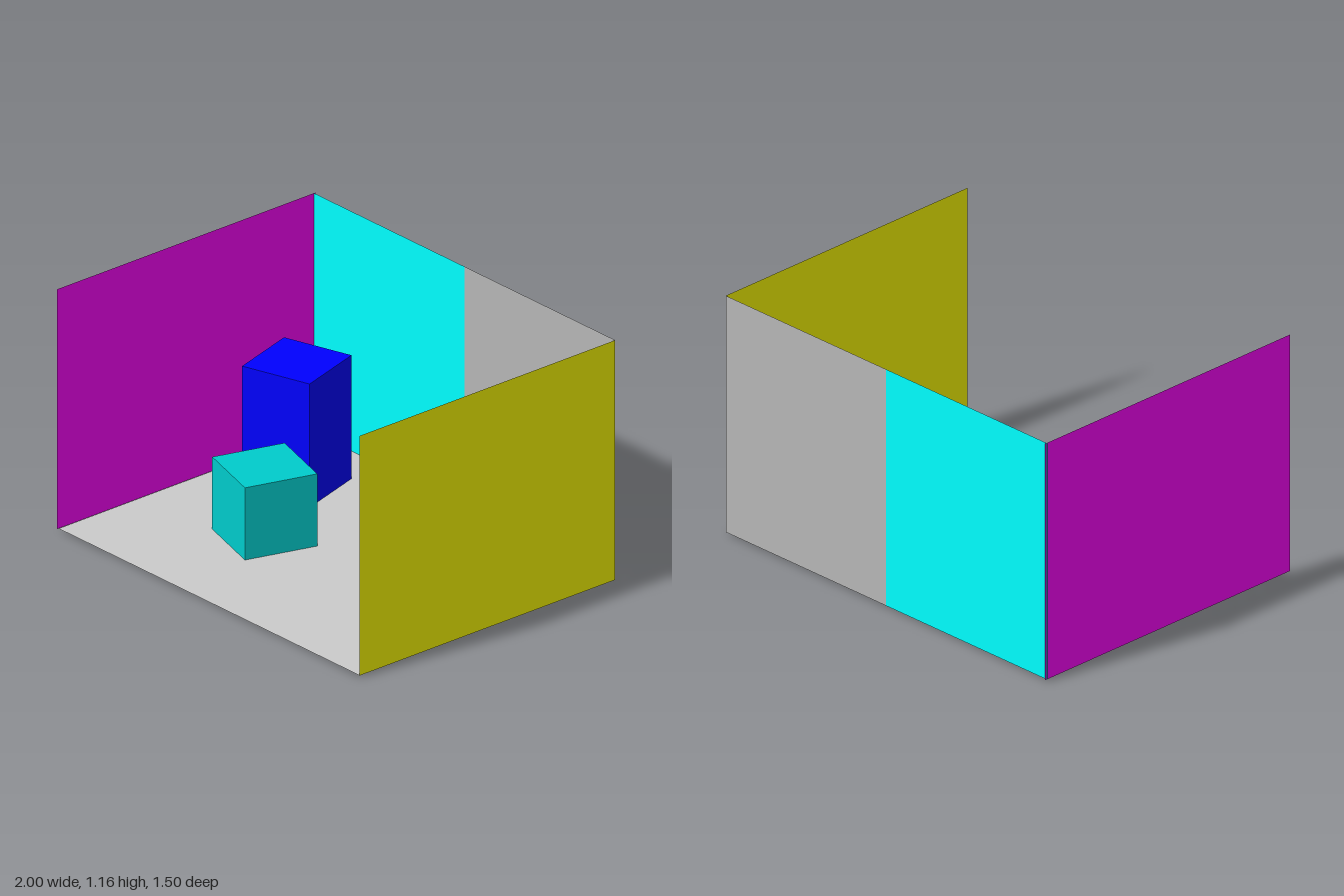
import * as THREE from 'three';

const FLOOR = 0.01, TOP = 1.165, HEIGHT = TOP - FLOOR, MID = (TOP + FLOOR) / 2;
const DEPTH = 1.48, BLOCK = 0.346;

function material(color) {
  return new THREE.MeshStandardMaterial({ color, side: THREE.DoubleSide });
}

// Thin single-surface panel
function panel(name, width, height, color, position, rotation = [0, 0, 0]) {
  const mesh = new THREE.Mesh(new THREE.PlaneGeometry(width, height), material(color));
  mesh.name = name;
  mesh.position.set(...position);
  mesh.rotation.set(...rotation);
  return mesh;
}

// Square block, open underneath
function block(name, color, x, z, bottom, top, angle) {
  const geometry = new THREE.BoxGeometry(BLOCK, top - bottom, BLOCK);
  const index = Array.from(geometry.index.array);
  index.splice(18, 6); // drop the bottom face
  geometry.setIndex(index);
  geometry.clearGroups();
  const mesh = new THREE.Mesh(geometry, material(color));
  mesh.name = name;
  mesh.position.set(x, (bottom + top) / 2, z);
  mesh.rotation.y = angle;
  return mesh;
}

export function createModel() {
  const room = new THREE.Group();
  room.name = 'room';

  // Floor and walls, open at the front and above
  const side = Math.PI / 2;
  room.add(
    panel('floor', 1.99, DEPTH, 0xcccccc, [0, FLOOR, 0], [-side, 0, 0]),
    panel('backWallRight', 1, HEIGHT, 0x00ffff, [-0.5, MID, -DEPTH / 2]),
    panel('backWallLeft', 0.995, HEIGHT, 0xb6b6b6, [0.4975, MID, -DEPTH / 2]),
    panel('leftWall', DEPTH, HEIGHT, 0xffff00, [0.996, MID, 0], [0, -side, 0]),
    panel('rightWall', 1.5, HEIGHT, 0xff00ff, [-0.996, MID, 0], [0, side, 0])
  );

  // Two pairs of blocks: a tall one behind, a short one in front
  const turn = 0.295;
  room.add(
    block('tallBlockRight', 0x0000ff, -0.652, -0.339, 0.009, 0.605, turn),
    block('tallBlockLeft', 0x0000ff, 0.318, -0.415, 0, 0.598, turn),
    block('shortBlockRight', 0x00cccc, -0.334, 0.125, 0.009, 0.358, -turn),
    block('shortBlockLeft', 0x00cccc, 0.635, 0.05, 0, 0.349, -turn)
  );
  return room;
}
